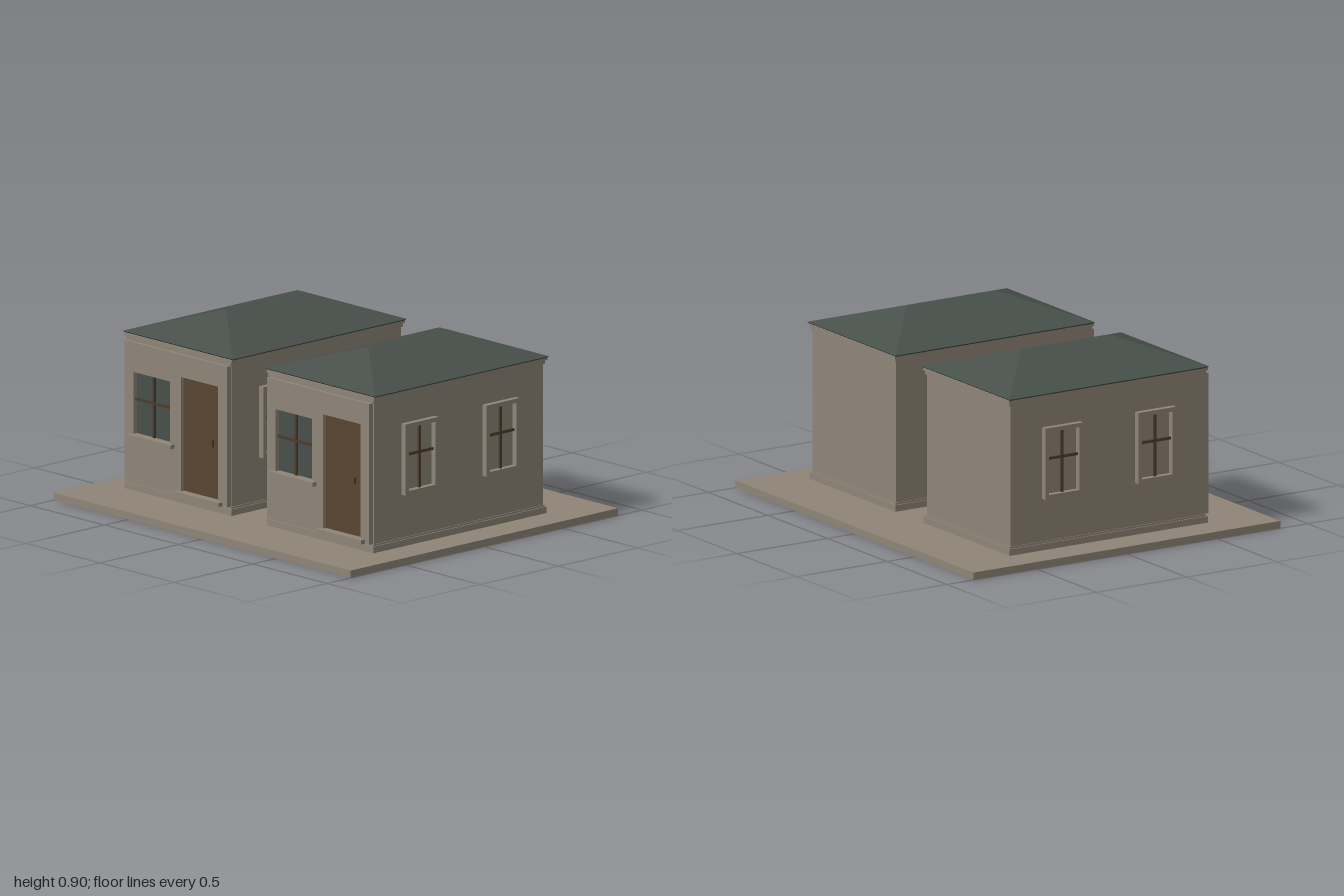
import * as THREE from 'three';
import { ConvexGeometry } from 'three/addons/geometries/ConvexGeometry.js';

const material = (name, color) => Object.assign(new THREE.MeshStandardMaterial({ color }), { name });

export function createModel() {
  const stone = material('stone', 0x8f8577);
  const slate = material('slate', 0x48504b);
  const doorWood = material('door wood', 0x5a4632);
  const barWood = material('window bar wood', 0x4c3b2a);

  // Box given by its limits on each axis
  const box = (parent, name, mat, [x0, x1], [y0, y1], [z0, z1]) => {
    const mesh = new THREE.Mesh(new THREE.BoxGeometry(x1 - x0, y1 - y0, z1 - z0), mat);
    mesh.position.set((x0 + x1) / 2, (y0 + y1) / 2, (z0 + z1) / 2);
    mesh.name = name;
    parent.add(mesh);
    return mesh;
  };

  const rect = (target, x0, x1, y0, y1) => {
    target.moveTo(x0, y0).lineTo(x1, y0).lineTo(x1, y1).lineTo(x0, y1).closePath();
    return target;
  };

  // Flat panel with rectangular openings, facing +z
  const panel = (parent, name, outline, openings, depth, z) => {
    const shape = rect(new THREE.Shape(), ...outline);
    for (const o of openings) shape.holes.push(rect(new THREE.Path(), ...o));
    const geometry = new THREE.ExtrudeGeometry(shape, { depth, bevelEnabled: false });
    const mesh = new THREE.Mesh(geometry, stone);
    mesh.position.z = z;
    mesh.name = name;
    parent.add(mesh);
  };

  // Crossed glazing bars centred in an opening
  const bars = (parent, [x0, x1, y0, y1], yBar, z) => {
    const cx = (x0 + x1) / 2;
    box(parent, 'verticalBar', barWood, [cx - 0.006, cx + 0.006], [y0, y1], [z, z + 0.012]);
    box(parent, 'horizontalBar', barWood, [x0, x1], [yBar - 0.006, yBar + 0.006], [z, z + 0.012]);
  };

  const createSideWindow = () => {
    const win = new THREE.Group();
    win.name = 'sideWindow';
    const opening = [-0.085, 0.085, 0.3, 0.6];
    panel(win, 'windowFrame', [-0.105, 0.105, 0.28, 0.62], [opening], 0.028, 0);
    bars(win, opening, 0.47, 0.002);
    return win;
  };

  const createHouse = () => {
    const house = new THREE.Group();
    house.name = 'house';

    // Body, plinth and cornice
    box(house, 'walls', stone, [-0.35, 0.35], [0.035, 0.76], [-0.535, 0.54]);
    box(house, 'plinth', stone, [-0.36, 0.36], [0.035, 0.066], [-0.546, 0.552]);
    box(house, 'plinthTrim', stone, [-0.354, 0.354], [0.066, 0.075], [-0.54, 0.545]);
    box(house, 'lowerCornice', stone, [-0.355, 0.355], [0.746, 0.77], [-0.542, 0.548]);
    box(house, 'upperCornice', stone, [-0.362, 0.362], [0.765, 0.778], [-0.55, 0.552]);

    // Hipped roof with a thin eave
    const points = [];
    for (const z of [-1, 1]) {
      points.push(new THREE.Vector3(0, 0.9, z * 0.245));
      for (const x of [-1, 1]) {
        points.push(new THREE.Vector3(x * 0.362, 0.776, z * 0.545));
        points.push(new THREE.Vector3(x * 0.37, 0.784, z * 0.553));
      }
    }
    const roof = new THREE.Mesh(new ConvexGeometry(points), slate);
    roof.name = 'roof';
    house.add(roof);

    // Front wall panel, with recessed window and door
    const windowHole = [-0.285, -0.04, 0.31, 0.605];
    const doorHole = [0.035, 0.285, 0.095, 0.64];
    panel(house, 'frontPanel', [-0.345, 0.345, 0.075, 0.746], [windowHole, doorHole], 0.025, 0.54);
    box(house, 'frontGlass', slate, [-0.285, -0.04], [0.31, 0.605], [0.538, 0.543]);
    bars(house, windowHole, 0.475, 0.543);
    box(house, 'windowSill', stone, [-0.31, -0.01], [0.29, 0.31], [0.54, 0.59]);
    box(house, 'door', doorWood, [0.035, 0.285], [0.095, 0.64], [0.538, 0.546]);
    box(house, 'doorHandle', barWood, [0.231, 0.237], [0.34, 0.375], [0.546, 0.556]);
    box(house, 'doorStep', stone, [0.01, 0.315], [0.075, 0.095], [0.54, 0.59]);

    // Two framed windows on each side wall
    for (const side of [-1, 1]) {
      for (const z of [-0.255, 0.26]) {
        const win = createSideWindow();
        win.rotation.y = side * Math.PI / 2;
        win.position.set(side * 0.35, 0, z);
        house.add(win);
      }
    }
    return house;
  };

  const model = new THREE.Group();
  model.name = 'twinHouses';
  box(model, 'groundSlab', stone, [-1, 1], [0, 0.035], [-0.85, 0.85]);
  for (const x of [-0.48, 0.478]) {
    const house = createHouse();
    house.position.x = x;
    model.add(house);
  }
  return model;
}
